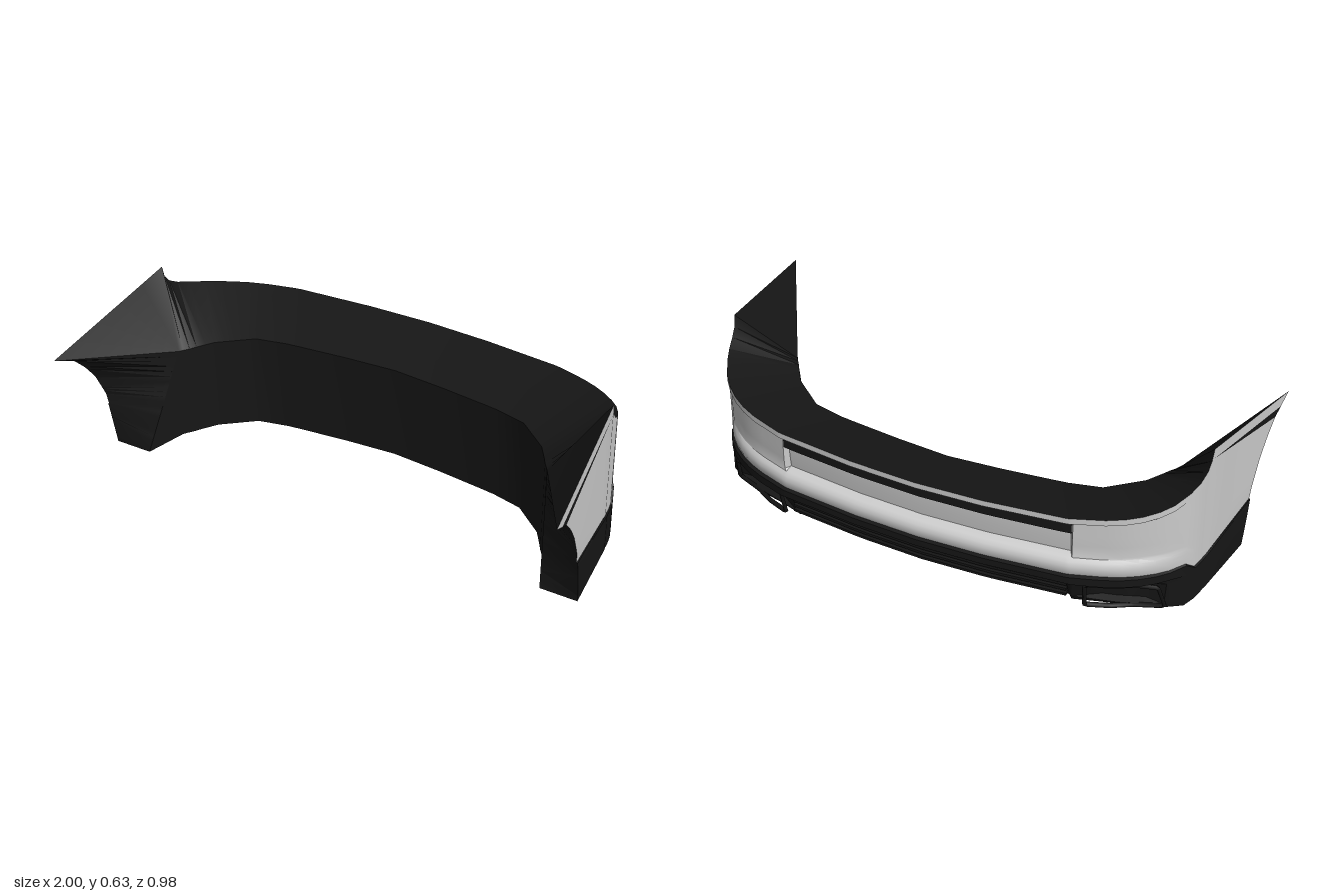
import * as THREE from 'three';
import { toCreasedNormals } from 'three/addons/utils/BufferGeometryUtils.js';

const V = (x, y, z) => new THREE.Vector3(x, y, z);
const lerp = THREE.MathUtils.lerp;
const grey = new THREE.MeshStandardMaterial({ color: 0xcccccc, side: THREE.DoubleSide });
const black = new THREE.MeshStandardMaterial({ color: 0x161616, side: THREE.DoubleSide });

// Plan stations from centre to flank:
// x, z, top y, trim line y, bottom y, rear shape factor, inner x, inner z
const stations = [
  [0, -.49, .46, .205, .055, 1, 0, -.23],
  [.25, -.48, .461, .205, .055, 1, .2, -.215],
  [.54, -.45, .465, .205, .05, 1, .4, -.193],
  [.555, -.447, .465, .205, .04, 1, .42, -.19],
  [.565, -.444, .466, .205, .03, 1, .44, -.188],
  [.67, -.41, .47, .205, .028, 1, .56, -.16],
  [.73, -.382, .474, .205, .026, .9, .59, -.135],
  [.78, -.35, .479, .205, .024, .8, .62, -.11],
  [.825, -.311, .487, .205, .022, .6, .65, -.085],
  [.86, -.27, .497, .205, .02, .35, .68, -.06],
  [.893, -.21, .515, .205, .018, 0, .70, -.03],
  [.91, -.165, .532, .165, .018, 0, .72, 0],
  [.919, -.125, .555, .166, .018, 0, .735, .025],
  [.922, -.1, .585, .167, .018, 0, .75, .045],
  [.925, -.09, .63, .168, .018, 0, .76, .06],
];

// Skin rows: height fraction, inset at the rear, extra inset of the centre panel
const skinRows = [
  [1, 0, 0], [.91, 0, 0], [.845, .03, .022], [.7, .03, .022], [.62, .03, .022],
  [.45, .03, .024], [.28, .032, .026], [.25, .03, 0], [.21, .018, 0], [.15, .011, 0],
  [.07, .011, 0], [0, .018, 0],
];
// Trim rows: height fraction (1 top, 0 bottom), rear inset, vent pocket depth
const trimRows = [
  [1, .018, 0], [.98, .004, 0], [.8, .004, 0], [.73, .045, 0], [.68, .05, 0],
  [.64, .052, .045], [.15, .075, .03], [.1, .078, 0], [0, .09, 0],
];
// Wheel arch edge: fraction, x, y, z
const archSkin = [[0, .967, .19, .235], [.16, .97, .24, .245], [.52, .977, .355, .3], [.83, .987, .45, .38], [1, 1, .505, .49]];
const archTrim = [[0, .965, 0, .2], [.45, .97, .08, .212], [1, .971, .19, .235]];

function sample(table, t) {
  let i = 1;
  while (i < table.length - 1 && table[i][0] < t) i++;
  const a = table[i - 1], b = table[i], k = (t - a[0]) / (b[0] - a[0]);
  return a.map((v, j) => lerp(v, b[j], k));
}

// Inward direction of the plan curve at station i
function inward(i) {
  const a = stations[Math.max(i - 1, 0)], b = stations[Math.min(i + 1, stations.length - 1)];
  if (i === 0) return [0, 1];
  const dx = b[0] - a[0], dz = b[1] - a[1], l = Math.hypot(dx, dz);
  return [-dz / l, dx / l];
}

// Point on the plan curve at any x, set in by d, at height y
const planTable = stations.map((s, i) => [s[0], s[1], ...inward(i)]);
function at(x, d, y) {
  const [px, z, nx, nz] = sample(planTable, Math.abs(x));
  return V((px + nx * d) * (x < 0 ? -1 : 1), y, z + nz * d);
}

function rearColumn(s, i) {
  const [x, z, top, trimY, bottom, f, ix, iz] = s, [nx, nz] = inward(i);
  const put = (d, y) => V(x + nx * d, y, z + nz * d);
  const panel = x < .56 ? 1 : 0, vent = x > .6 && x < .84 ? 1 : 0;
  const skin = skinRows.map(([v, d, r], j) => {
    const h = j === 2 ? lerp(.91, v, Math.min(1, f * 1.6)) : v;
    return put(d * f + r * panel, lerp(trimY, top, h));
  });
  const trim = trimRows.map(([v, d, p]) =>
    put(lerp(v === 1 ? 0 : -.006, d, f) + p * vent, lerp(bottom, trimY, v)));
  return { skin, trim, inner: [V(ix, .39, iz), V(ix, .02, iz)] };
}

function archColumn() {
  const pick = (table, v) => V(...sample(table, v).slice(1));
  return {
    skin: skinRows.map((r) => pick(archSkin, r[0])),
    trim: trimRows.map((r) => pick(archTrim, r[0])),
    inner: [V(.76, .39, .06), V(.82, 0, .2)],
  };
}

const mix = (a, b, k) => Object.fromEntries(Object.keys(a).map((key) =>
  [key, a[key].map((p, i) => p.clone().lerp(b[key][i], k))]));
const mirror = (c) => Object.fromEntries(Object.entries(c).map(([key, pts]) =>
  [key, pts.map((p) => V(-p.x, p.y, p.z))]));

// Surface through columns of points, dropping collapsed triangles
function loft(cols, crease = .5) {
  const rows = cols[0].length, index = [], flat = cols.flat();
  const tri = (a, b, c) => {
    if (new THREE.Triangle(flat[a], flat[b], flat[c]).getArea() > 1e-8) index.push(a, b, c);
  };
  for (let i = 0; i < cols.length - 1; i++) for (let j = 0; j < rows - 1; j++) {
    const a = i * rows + j, b = a + rows;
    tri(a, b, a + 1);
    tri(b, b + 1, a + 1);
  }
  const g = new THREE.BufferGeometry().setFromPoints(flat);
  g.setIndex(index);
  return toCreasedNormals(g, crease);
}

export function createModel() {
  const group = new THREE.Group();
  const add = (name, geometry, material) => {
    const m = new THREE.Mesh(geometry, material);
    m.name = name;
    group.add(m);
  };

  // Columns for the whole width, from right arch to left arch
  const half = stations.map(rearColumn), last = half[half.length - 1], arch = archColumn();
  for (const k of [.2, .4, .6, .8, 1]) half.push(mix(last, arch, k));
  const cols = [...half.slice(1).reverse().map(mirror), ...half];

  // Painted skin with the dark slot under the top lip
  add('topLip', loft(cols.map((c) => c.skin.slice(0, 2))), grey);
  add('lipSlot', loft(cols.map((c) => c.skin.slice(1, 3))), black);
  add('bumperSkin', loft(cols.map((c) => c.skin.slice(2))), grey);

  // Lower trim and the inner liner closing top, front and bottom
  add('lowerTrim', loft(cols.map((c) => c.trim)), black);
  add('innerLiner', loft(cols.map((c) =>
    [c.trim[c.trim.length - 1], c.inner[1], c.inner[0], c.skin[0]])), black);

  // Wheel arch returns
  for (const side of [1, -1]) {
    const c = side > 0 ? arch : mirror(arch), outer = [...c.skin, ...c.trim];
    const inner = outer.map((p, i) => c.inner[0].clone().lerp(c.inner[1], i / (outer.length - 1)));
    add(side > 0 ? 'leftArchReturn' : 'rightArchReturn', loft(side > 0 ? [outer, inner] : [inner, outer]), black);
  }

  // Strips following the curve of the rear
  const strip = (width, profile) => loft(Array.from({ length: 25 }, (_, i) =>
    profile.map(([d, y]) => at(lerp(-width, width, i / 24), d, y))));
  add('handleBar', strip(.56, [[.053, .421], [.029, .421], [.029, .378], [.053, .365]]), black);
  for (const y of [.15, .13, .108, .085])
    add('grilleSlat', strip(.54, [[.1, y + .005], [.046, y + .005], [.046, y - .005], [.1, y - .005]]), black);

  // Corner vent frames
  for (const side of [1, -1]) {
    const pts = [[.61, .14], [.7, .14], [.78, .14], [.835, .14], [.86, .035], [.78, .035], [.7, .035], [.61, .035]]
      .map(([x, y]) => at(x * side, y > .1 ? .042 - .035 * (x > .8) : .062 - .045 * (x > .8), y));
    const path = new THREE.CurvePath();
    pts.forEach((p, i) => path.add(new THREE.LineCurve3(p, pts[(i + 1) % pts.length])));
    add(side > 0 ? 'leftVentFrame' : 'rightVentFrame', new THREE.TubeGeometry(path, 64, .009, 4, true), black);
  }

  // Diffuser teeth under the rear
  const tooth = new THREE.Shape([[.07, .08], [.11, .03], [.2, .02], [.2, .08]].map((p) => new THREE.Vector2(...p)));
  const toothGeo = new THREE.ExtrudeGeometry(tooth, { depth: .07, bevelEnabled: false });
  toothGeo.translate(0, 0, -.035).rotateY(-Math.PI / 2);
  for (const x of [-.45, -.27, -.09, .09, .27, .45]) {
    const g = toothGeo.clone(), p = at(x, 0, 0);
    g.translate(p.x, 0, p.z);
    add('diffuserTooth', g, black);
  }
  return group;
}
